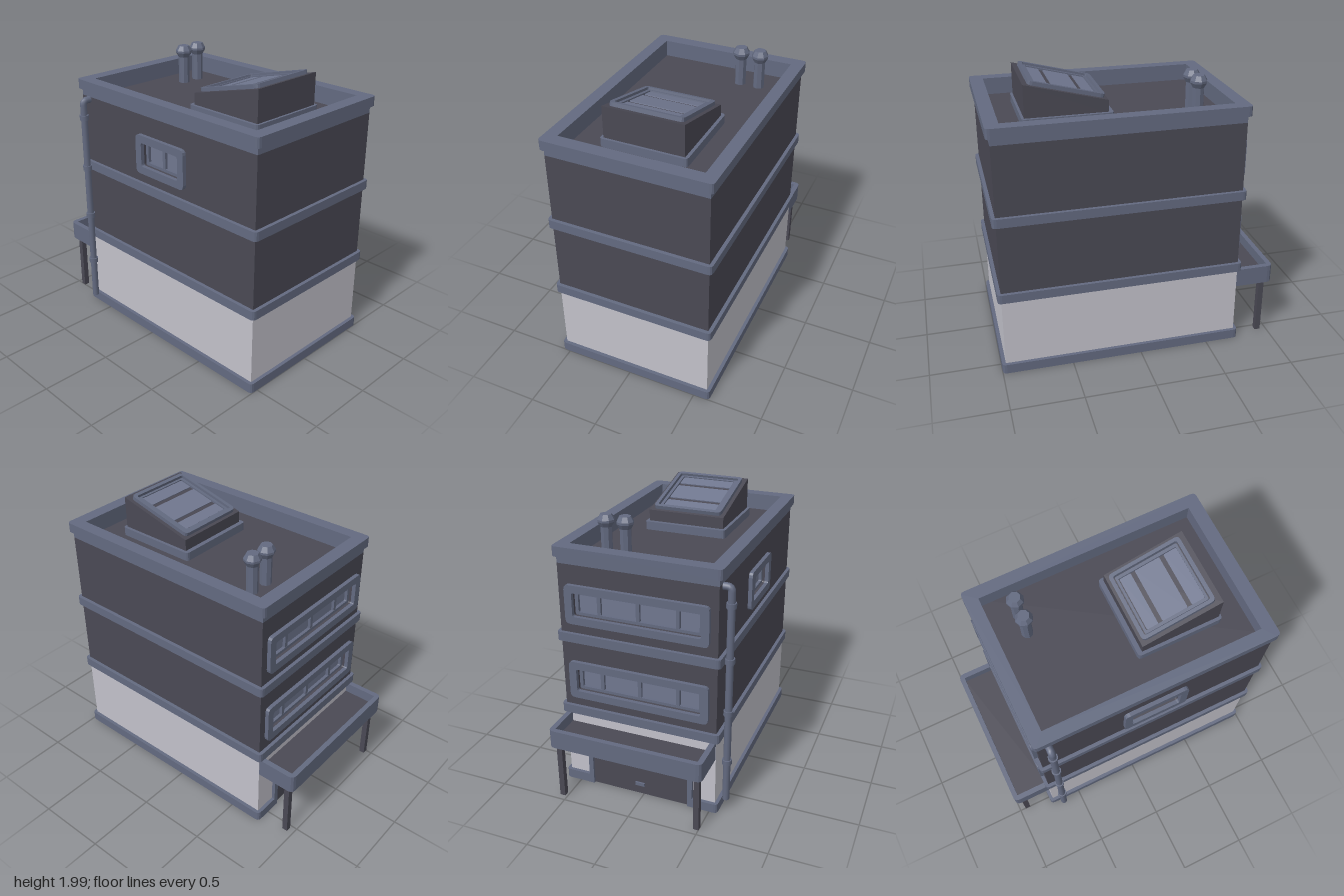
import * as THREE from 'three';

const mat = (name, color) => {
  const m = new THREE.MeshStandardMaterial({ color });
  m.name = name;
  return m;
};

export function createModel() {
  const wall = mat('dark wall', 0x4a4954);
  const plaster = mat('pale plaster', 0xc2c1ca);
  const trim = mat('slate trim', 0x636a80);
  const glass = mat('window glass', 0x70778f);

  const CX = 0.0275, CZ = 0.1275;      // centre of the building plan
  const W = 1.125, D = 1.695;          // wall footprint
  const model = new THREE.Group();
  model.name = 'building';

  const add = (name, geo, material, parent = model) => {
    const m = new THREE.Mesh(geo, material);
    m.name = name;
    parent.add(m);
    return m;
  };
  const group = (name, x, y, z, parent = model) => {
    const g = new THREE.Group();
    g.name = name;
    g.position.set(x, y, z);
    parent.add(g);
    return g;
  };
  const box = (name, x0, x1, y0, y1, z0, z1, material, parent) =>
    add(name, new THREE.BoxGeometry(x1 - x0, y1 - y0, z1 - z0)
      .translate((x0 + x1) / 2, (y0 + y1) / 2, (z0 + z1) / 2), material, parent);

  // Rectangle with small rounded corners, optionally with a hole
  const outline = (s, w, h, r) => {
    const x = w / 2, y = h / 2;
    s.moveTo(-x + r, -y).lineTo(x - r, -y).quadraticCurveTo(x, -y, x, -y + r);
    s.lineTo(x, y - r).quadraticCurveTo(x, y, x - r, y);
    s.lineTo(-x + r, y).quadraticCurveTo(-x, y, -x, y - r);
    s.lineTo(-x, -y + r).quadraticCurveTo(-x, -y, -x + r, -y);
    return s;
  };
  const plate = (w, h, r, hole) => {
    const s = outline(new THREE.Shape(), w, h, r);
    if (hole) s.holes.push(outline(new THREE.Path(), hole[0], hole[1], hole[2]));
    return s;
  };
  const extrude = (shape, depth) =>
    new THREE.ExtrudeGeometry(shape, { depth, bevelEnabled: false, curveSegments: 3 });
  // Horizontal slab: shape x stays x, shape y becomes -z
  const slab = (shape, y0, y1) =>
    extrude(shape, y1 - y0).rotateX(-Math.PI / 2).translate(0, y0, 0);

  // Ground floor
  const left = CX - W / 2, right = CX + W / 2, back = CZ - D / 2, front = CZ + D / 2;
  box('groundFloor', left, right, 0.005, 0.6, back, front, plaster);

  // Upper floors: solid core plus outer panels pierced for the windows
  box('upperCore', left + 0.05, right, 0.6, 1.69, back + 0.05, front, wall);
  const makeWindow = (parent, w, h, bars) => {
    const iw = w - 0.11, ih = h - 0.11;
    add('windowSurround', extrude(plate(w, h, 0.035, [iw, ih, 0.015]), 0.028), trim, parent);
    add('windowSash', extrude(plate(iw, ih, 0.015, [iw - 0.05, ih - 0.04, 0.008]), 0.03)
      .translate(0, 0, -0.048), trim, parent);
    box('pane', -iw / 2, iw / 2, -ih / 2, ih / 2, -0.048, -0.04, glass, parent);
    for (const x of bars)
      box('mullion', x - 0.013, x + 0.013, -ih / 2, ih / 2, -0.045, -0.02, trim, parent);
  };
  const makePanel = (name, x, z, turn, length, y0, y1, win) => {
    const yc = (y0 + y1) / 2;
    const g = group(name, x, yc, z);
    g.rotation.y = turn;
    const s = plate(length, y1 - y0, 0);
    if (win) {
      const hole = outline(new THREE.Path(), win.w - 0.11, win.h - 0.11, 0.015);
      s.holes.push(new THREE.Path(hole.getPoints(3).map(p => p.add(new THREE.Vector2(0, win.y - yc)))));
      makeWindow(group('window', 0, win.y - yc, 0, g), win.w, win.h, win.bars);
    }
    add('panel', extrude(s, 0.05).translate(0, 0, -0.05), wall, g);
  };
  const wide = y => ({ w: 1.02, h: 0.28, y, bars: [-0.28, 0, 0.28] });
  makePanel('backPanelLower', CX, back, Math.PI, W, 0.6, 1.17, wide(0.847));
  makePanel('backPanelUpper', CX, back, Math.PI, W, 1.17, 1.69, wide(1.415));
  makePanel('sidePanelLower', left, CZ, -Math.PI / 2, D, 0.6, 1.17);
  makePanel('sidePanelUpper', left, CZ, -Math.PI / 2, D, 1.17, 1.69,
    { w: 0.47, h: 0.28, y: 1.415, bars: [0] });

  // Projecting bands and the parapet
  const plan = group('bands', CX, 0, CZ);
  const bw = W + 0.05, bd = D + 0.05;
  const well = [0.995, 1.555, 0];
  add('floorBand', slab(plate(bw, bd, 0.03), 0.57, 0.635), trim, plan);
  add('floorBand', slab(plate(bw, bd, 0.03), 1.135, 1.2), trim, plan);
  add('parapetBase', slab(plate(W, D, 0, well), 1.69, 1.74), trim, plan);
  add('parapet', slab(plate(bw, bd, 0.03, well), 1.74, 1.81), trim, plan);

  // Plinth, notched at the back for the door
  const p = new THREE.Shape(), px = bw / 2, py = bd / 2, r = 0.03, n = 0.4;
  p.moveTo(-px + r, -py).lineTo(px - r, -py).quadraticCurveTo(px, -py, px, -py + r);
  p.lineTo(px, py - r).quadraticCurveTo(px, py, px - r, py);
  p.lineTo(n, py).lineTo(n, py - 0.03).lineTo(-n, py - 0.03).lineTo(-n, py);
  p.lineTo(-px + r, py).quadraticCurveTo(-px, py, -px, py - r);
  p.lineTo(-px, -py + r).quadraticCurveTo(-px, -py, -px + r, -py);
  add('plinth', slab(p, 0, 0.07), trim, plan);

  // Back door with frame and handle
  const door = group('door', CX, 0, back);
  box('doorLeaf', -0.365, 0.365, 0, 0.405, -0.008, 0.01, wall, door);
  for (const s of [-1, 1])
    box('doorJamb', s * 0.3825 - 0.0175, s * 0.3825 + 0.0175, 0, 0.43, -0.025, 0.01, trim, door);
  box('doorLintel', -0.365, 0.365, 0.4, 0.43, -0.025, 0.01, trim, door);
  box('doorHandle', -0.035, 0.035, 0.07, 0.095, -0.02, -0.008, trim, door);

  // Canopy: U-shaped rim, floor and two posts
  const canopy = group('canopy', CX, 0, 0);
  const u = new THREE.Shape(), cx = 0.56, ci = 0.522;
  u.moveTo(ci, 0.72).lineTo(cx, 0.72).lineTo(cx, 0.96).quadraticCurveTo(cx, 1, cx - 0.04, 1);
  u.lineTo(-cx + 0.04, 1).quadraticCurveTo(-cx, 1, -cx, 0.96).lineTo(-cx, 0.72);
  u.lineTo(-ci, 0.72).lineTo(-ci, 0.964).lineTo(ci, 0.964).closePath();
  add('canopyRim', slab(u, 0.43, 0.565), trim, canopy);
  box('canopySlab', -ci, ci, 0.43, 0.484, -0.964, -0.72, trim, canopy);
  box('canopyFloor', -ci, ci, 0.484, 0.49, -0.964, -0.72, wall, canopy);
  for (const s of [-1, 1])
    box('canopyPost', s * 0.51 - 0.02, s * 0.51 + 0.02, 0, 0.43, -0.955, -0.915, wall, canopy);

  // Skylight: curb, wedge body, tilted frame with three panes
  const sky = group('skylight', CX, 0, 0.43);
  add('skylightCurb', slab(plate(0.61, 0.615, 0.025), 1.69, 1.75), trim, sky);
  const wedge = new THREE.Shape();
  wedge.moveTo(-0.275, 1.74).lineTo(0.29, 1.74).lineTo(0.29, 1.975).lineTo(-0.275, 1.831);
  add('skylightBody', extrude(wedge, 0.565).rotateY(-Math.PI / 2).translate(0.2825, 0, 0), wall, sky);
  const lid = group('skylightLid', 0, 1.901, 0, sky);
  lid.rotation.x = -0.25;
  add('lidFrame', slab(plate(0.51, 0.525, 0.03, [0.46, 0.472, 0.015]), -0.004, 0.027), trim, lid);
  add('lidInnerFrame', slab(plate(0.445, 0.457, 0.01, [0.4, 0.424, 0.005]), -0.004, 0.014), trim, lid);
  for (const [a, b] of [[-0.206, -0.124], [-0.093, 0.088], [0.119, 0.212]])
    add('lidPane', slab(plate(0.396, b - a, 0.01), -0.002, 0.007)
      .translate(0, 0, (a + b) / 2), glass, lid);

  // Roof vents
  const profile = [[0, 1.69], [0.04, 1.69], [0.04, 1.885], [0.06, 1.92], [0.06, 1.935], [0.04, 1.97], [0, 1.97]];
  for (const x of [0.215, 0.355]) {
    const geo = new THREE.LatheGeometry(profile.map(q => new THREE.Vector2(...q)), 8).toNonIndexed();
    geo.computeVertexNormals();
    add('roofVent', geo, trim).position.set(x, 0, -0.45);
  }

  // Downpipe with collars and an elbow into the wall
  const pipe = group('downpipe', -0.59, 0, -0.645);
  const R = 0.025, V = (x, y) => new THREE.Vector3(x, y, 0);
  const tube = (name, radius, y0, y1) =>
    add(name, new THREE.CylinderGeometry(radius, radius, y1 - y0, 10).translate(0, (y0 + y1) / 2, 0), trim, pipe);
  tube('pipe', R, 0.07, 1.64);
  for (const y of [0.382, 0.77, 1.158, 1.547]) tube('pipeCollar', 0.034, y - 0.018, y + 0.018);
  add('pipeElbow', new THREE.TubeGeometry(
    new THREE.QuadraticBezierCurve3(V(0, 1.64), V(0, 1.67), V(0.03, 1.67)), 4, R, 10), trim, pipe);
  add('pipeInlet', new THREE.CylinderGeometry(R, R, 0.035, 10)
    .rotateZ(Math.PI / 2).translate(0.0465, 1.67, 0), trim, pipe);

  return model;
}
